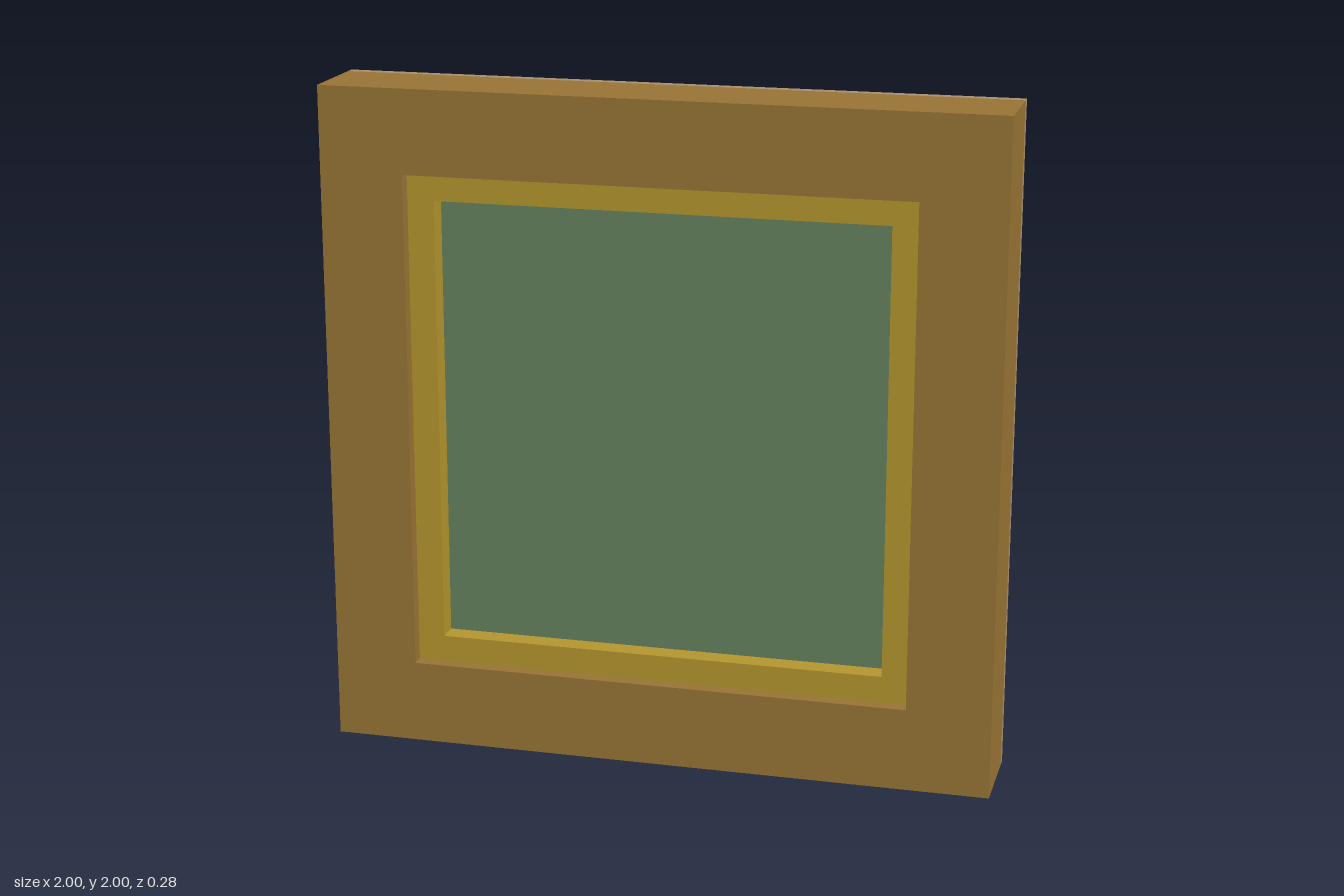
import * as THREE from 'three';

const paint = (name, color) => {
  const m = new THREE.MeshStandardMaterial({ color });
  m.name = name;
  return m;
};

// Square ring: half-sizes of the outside and the opening, from z0 to z1
function squareRing(outer, inner, z0, z1) {
  const corners = (r) => [[-r, -r], [r, -r], [r, r], [-r, r]].map(([x, y]) => new THREE.Vector2(x, y));
  const shape = new THREE.Shape(corners(outer));
  shape.holes.push(new THREE.Path(corners(inner).reverse()));
  const geo = new THREE.ExtrudeGeometry(shape, { depth: z1 - z0, bevelEnabled: false });
  return geo.translate(0, 1, z0);
}

// Square panel from z0 to z1
const panel = (half, z0, z1) =>
  new THREE.BoxGeometry(half * 2, half * 2, z1 - z0).translate(0, 1, (z0 + z1) / 2);

export function createModel() {
  const wood = paint('brown wood', 0x987435);
  const gold = paint('gold trim', 0xb4952e);
  const green = paint('muted green', 0x64825e);
  const board = paint('tan backing', 0xa68f70);

  const group = new THREE.Group();
  group.name = 'pictureFrame';
  const add = (name, geo, mat) => {
    const mesh = new THREE.Mesh(geo, mat);
    mesh.name = name;
    group.add(mesh);
  };

  add('outerFrame', squareRing(1, 0.75, -0.11, 0.14), wood);
  add('innerTrim', squareRing(0.75, 0.67, -0.11, 0.1), gold);
  add('canvas', panel(0.67, -0.11, 0.035), green);
  add('backBoard', panel(1, -0.14, -0.11), board);
  return group;
}
